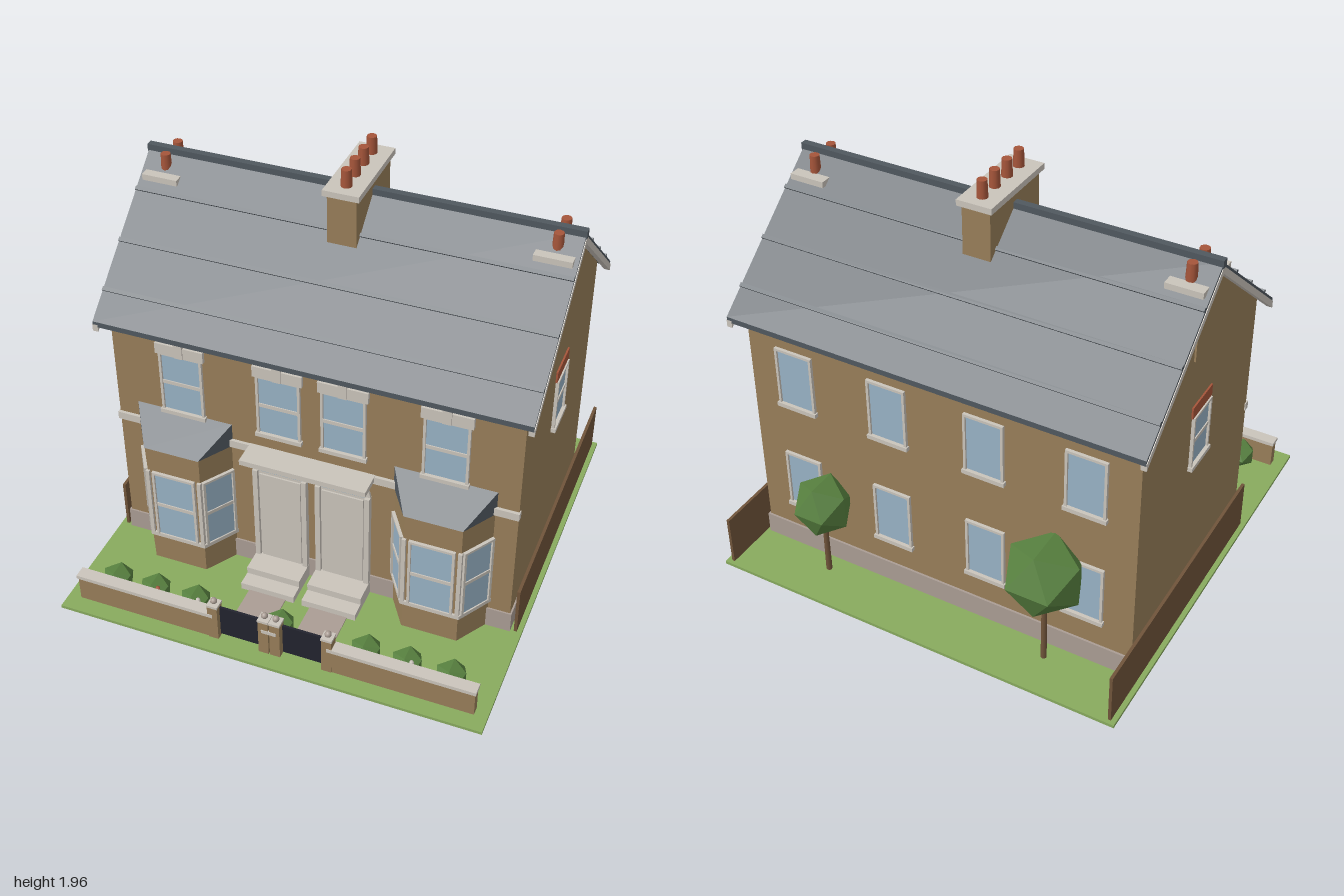
import * as THREE from 'three';
import { ConvexGeometry } from 'three/addons/geometries/ConvexGeometry.js';

const material = (name, color, flatShading = false) => {
  const m = new THREE.MeshStandardMaterial({ color, flatShading });
  m.name = name;
  return m;
};
const M = {
  brick: material('brick', 0x987e59),
  cream: material('cream stone', 0xcac4bb),
  slate: material('slate', 0x50585f),
  glass: material('glass', 0x98b2c5),
  red: material('terracotta', 0xa5553a),
  grass: material('grass', 0x88aa5e),
  wood: material('brown wood', 0x70543a),
  iron: material('black iron', 0x22232e),
  stone: material('path stone', 0xaa9d94),
  leaf: material('foliage', 0x57803f, true),
};

const ZC = -0.157, FRONT = 0.405, BACK = -0.717, HALF = 0.94; // ridge line and wall planes
const EAVE_Y = 1.262, RIDGE_Y = 1.79, EAVE_R = 0.635;
const SLOPE = (RIDGE_Y - EAVE_Y) / EAVE_R;

function add(parent, name, geometry, mat) {
  const mesh = new THREE.Mesh(geometry, mat);
  mesh.name = name;
  parent.add(mesh);
  return mesh;
}

// Box given by its extents on each axis
function box(parent, name, mat, [x0, x1], [y0, y1], [z0, z1]) {
  const mesh = add(parent, name, new THREE.BoxGeometry(x1 - x0, y1 - y0, z1 - z0), mat);
  mesh.position.set((x0 + x1) / 2, (y0 + y1) / 2, (z0 + z1) / 2);
  return mesh;
}

const shapeOf = (pts) => new THREE.Shape(pts.map(([a, b]) => new THREE.Vector2(a, b)));

// Side profile of [z, y] points swept along x
function sweepX(parent, name, mat, pts, x0, x1) {
  const g = new THREE.ExtrudeGeometry(shapeOf(pts), { depth: x1 - x0, bevelEnabled: false });
  g.rotateY(-Math.PI / 2).translate(x1, 0, 0);
  return add(parent, name, g, mat);
}

// Plan of [x, z] points swept up y
function sweepY(parent, name, mat, pts, y0, y1) {
  const g = new THREE.ExtrudeGeometry(shapeOf(pts.map(([x, z]) => [x, -z])), { depth: y1 - y0, bevelEnabled: false });
  g.rotateX(-Math.PI / 2).translate(0, y0, 0);
  return add(parent, name, g, mat);
}

// Framed window facing +z, origin at the bottom centre of the glass on the wall face
function windowUnit(parent, name, w, h, { bar = true, sill = true, frame = 0.012 } = {}) {
  const g = new THREE.Group();
  g.name = name;
  parent.add(g);
  const a = w / 2, b = a + frame;
  box(g, 'pane', M.glass, [-a, a], [0, h], [-0.004, 0.005]);
  for (const s of [-1, 1]) box(g, 'jamb', M.cream, s < 0 ? [-b, -a] : [a, b], [0, h], [-0.005, 0.015]);
  box(g, 'head', M.cream, [-b, b], [h, h + frame], [-0.005, 0.015]);
  if (bar) box(g, 'sashBar', M.cream, [-a, a], [h * 0.5 - 0.009, h * 0.5 + 0.009], [0, 0.01]);
  if (sill) box(g, 'sill', M.cream, [-b - 0.006, b + 0.006], [-0.02, 0], [-0.005, 0.022]);
  return g;
}

function pot(parent, x, y, z) {
  add(parent, 'chimneyPot', new THREE.CylinderGeometry(0.022, 0.025, 0.08, 10), M.red).position.set(x, y + 0.04, z);
}

// Faceted ball of leaves
function foliage(parent, name, r, x, y, z, sy = 1) {
  const m = add(parent, name, new THREE.IcosahedronGeometry(r, 0).rotateY(Math.PI / 2), M.leaf);
  m.scale.y = sy;
  m.position.set(x, y, z);
}

function buildHouse(root) {
  const top = EAVE_Y + (EAVE_R - 0.56) * SLOPE - 0.03;
  sweepX(root, 'walls', M.brick, [[FRONT, 0.01], [FRONT, top], [ZC, RIDGE_Y - 0.03], [BACK, top], [BACK, 0.01]], -HALF, HALF);
  box(root, 'plinth', M.stone, [-0.948, 0.948], [0.012, 0.12], [BACK - 0.01, FRONT + 0.008]);
  box(root, 'stringCourse', M.cream, [-0.945, 0.945], [0.69, 0.728], [0.39, 0.42]);

  // Roof, ridge, slate courses and bargeboards
  const chevron = (a, b) => [
    [ZC + EAVE_R, EAVE_Y - a], [ZC, RIDGE_Y - a], [ZC - EAVE_R, EAVE_Y - a],
    [ZC - EAVE_R, EAVE_Y - b], [ZC, RIDGE_Y - b], [ZC + EAVE_R, EAVE_Y - b]];
  sweepX(root, 'roof', M.slate, chevron(0, 0.026), -0.985, 0.985);
  for (const s of [-1, 1]) {
    sweepX(root, 'bargeboard', M.cream, chevron(0.015, 0.05), s * 0.975 - 0.013, s * 0.975 + 0.013);
    for (const d of [0.157, 0.343, 0.52]) {
      const m = add(root, 'slateCourse', new THREE.BoxGeometry(1.97, 0.018, 0.018), M.slate);
      m.position.set(0, RIDGE_Y - d * SLOPE + 0.002, ZC + s * d);
      m.rotation.x = s * Math.atan(SLOPE);
    }
  }
  box(root, 'ridge', M.slate, [-0.99, 0.99], [1.77, 1.806], [ZC - 0.016, ZC + 0.016]);

  // Chimneys
  box(root, 'mainChimney', M.brick, [-0.066, 0.066], [1.5, 1.856], [-0.36, 0.045]);
  box(root, 'mainChimneyCap', M.cream, [-0.082, 0.082], [1.852, 1.88], [-0.377, 0.06]);
  for (const z of [-0.01, -0.108, -0.208, -0.307]) pot(root, 0, 1.88, z);
  for (const s of [-1, 1]) {
    const cx = s * 0.883;
    box(root, 'endChimney', M.brick, [cx - 0.065, cx + 0.065], [1.38, 1.695], [-0.275, -0.045]);
    box(root, 'endChimneyCap', M.cream, [cx - 0.083, cx + 0.083], [1.692, 1.72], [-0.295, -0.028]);
    for (const z of [-0.225, -0.105]) pot(root, cx, 1.72, z);
  }

  // Upper front windows with keystoned lintels
  for (const x of [-0.61, -0.15, 0.15, 0.61]) {
    const w = windowUnit(root, 'upperFrontWindow', 0.182, 0.3);
    w.position.set(x, 0.82, FRONT);
    box(w, 'lintel', M.cream, [-0.115, 0.115], [0.305, 0.36], [-0.005, 0.018]);
    box(w, 'keystone', M.cream, [-0.02, 0.02], [0.305, 0.376], [-0.005, 0.024]);
  }
  // Gable windows with red brick lintels
  for (const s of [-1, 1]) {
    const w = windowUnit(root, 'gableWindow', 0.154, 0.245);
    w.position.set(s * HALF, 0.822, ZC);
    w.rotation.y = s * Math.PI / 2;
    box(w, 'brickLintel', M.red, [-0.097, 0.097], [0.257, 0.313], [-0.005, 0.008]);
  }
  // Back windows
  for (const x of [-0.705, -0.235, 0.235, 0.705]) for (const y of [0.27, 0.84]) {
    const w = windowUnit(root, 'backWindow', 0.165, 0.275, { bar: false });
    w.position.set(x, y, BACK);
    w.rotation.y = Math.PI;
  }
}

function buildBay(root, cx) {
  const g = new THREE.Group();
  g.name = 'bayWindow';
  g.position.x = cx;
  root.add(g);
  const plan = (o) => [[-0.228 - o, 0.4], [-0.13 - o * 0.6, 0.553 + o], [0.13 + o * 0.6, 0.553 + o], [0.228 + o, 0.4]];
  sweepY(g, 'bayWall', M.brick, plan(0), 0.01, 0.69);
  sweepY(g, 'baySill', M.cream, plan(0.012), 0.162, 0.182);
  const roofPts = [];
  for (const s of [-1, 1]) roofPts.push(
    new THREE.Vector3(s * 0.232, 0.81, 0.403), new THREE.Vector3(s * 0.232, 0.688, 0.403), new THREE.Vector3(s * 0.132, 0.688, 0.563));
  add(g, 'bayRoof', new ConvexGeometry(roofPts), M.slate);
  windowUnit(g, 'bayFrontWindow', 0.186, 0.36, { sill: false }).position.set(0, 0.182, 0.553);
  for (const s of [-1, 1]) {
    box(g, 'bayPost', M.cream, [s * 0.127 - 0.009, s * 0.127 + 0.009], [0.182, 0.554], [0.54, 0.566]);
    const w = windowUnit(g, 'baySideWindow', 0.142, 0.36, { sill: false });
    w.position.set(s * 0.179, 0.182, 0.4765);
    w.rotation.y = s * Math.atan2(0.153, 0.098);
  }
}

function buildEntrance(root) {
  // Shared canopy
  box(root, 'canopy', M.cream, [-0.28, 0.28], [0.684, 0.706], [0.4, 0.51]);
  box(root, 'canopyTop', M.cream, [-0.295, 0.295], [0.704, 0.73], [0.4, 0.53]);
  const arch = (rx, ry) => new THREE.Shape().absellipse(0, 0, rx, ry, 0, Math.PI, false);
  for (const s of [-1, 1]) {
    const g = new THREE.Group();
    g.name = 'entrance';
    g.position.x = s * 0.15;
    root.add(g);
    box(g, 'doorSurround', M.cream, [-0.128, 0.128], [0.015, 0.6], [0.395, 0.418]);
    for (const t of [-1, 1]) box(g, 'pilaster', M.cream, [t * 0.117 - 0.012, t * 0.117 + 0.012], [0.015, 0.6], [0.4, 0.435]);
    const top = new THREE.ExtrudeGeometry(arch(0.128, 0.086), { depth: 0.023, bevelEnabled: false, curveSegments: 12 });
    add(g, 'archSurround', top, M.cream).position.set(0, 0.6, 0.395);
    const light = new THREE.ExtrudeGeometry(arch(0.104, 0.066), { depth: 0.006, bevelEnabled: false, curveSegments: 12 });
    add(g, 'fanlight', light, M.glass).position.set(0, 0.597, 0.416);
    box(g, 'door', M.cream, [-0.098, 0.098], [0.08, 0.58], [0.41, 0.426]);
    box(g, 'lowerStep', M.cream, [-0.13, 0.13], [0.012, 0.05], [0.4, 0.605]);
    box(g, 'upperStep', M.cream, [-0.13, 0.13], [0.05, 0.085], [0.4, 0.535]);
    box(g, 'path', M.stone, [-0.09, 0.09], [0.01, 0.021], [0.6, 0.885]);
    box(g, 'gate', M.iron, [-0.094, 0.094], [0.03, 0.192], [0.892, 0.903]);
  }
}

function buildGarden(root) {
  box(root, 'ground', M.grass, [-1, 1], [0, 0.015], [-1, 1]);
  for (const s of [-1, 1]) {
    const span = (a, b) => (s < 0 ? [-b, -a] : [a, b]);
    box(root, 'fence', M.wood, span(0.963, 0.977), [0.012, 0.26], [-0.98, 0.403]);
    box(root, 'gardenWall', M.brick, span(0.27, 0.94), [0.012, 0.142], [0.88, 0.922]);
    box(root, 'gardenWallCap', M.cream, span(0.27, 0.945), [0.14, 0.158], [0.871, 0.929]);
    // Gate piers with ball finials
    for (const x of [0.027, 0.27]) {
      const px = s * x;
      box(root, 'gatePier', M.brick, [px - 0.024, px + 0.024], [0.012, 0.202], [0.876, 0.926]);
      box(root, 'pierCap', M.cream, [px - 0.026, px + 0.026], [0.2, 0.212], [0.874, 0.928]);
      add(root, 'finial', new THREE.SphereGeometry(0.016, 8, 6), M.stone).position.set(px, 0.225, 0.901);
    }
  }
  box(root, 'centreWallCap', M.cream, [-0.035, 0.035], [0.14, 0.158], [0.871, 0.929]);

  // Front shrubs with a few blooms
  for (const x of [-0.8, -0.61, -0.41, 0, 0.41, 0.6, 0.8]) foliage(root, 'shrub', 0.077, x, 0.088, 0.81, 0.92);
  for (const [x, m] of [[-0.58, M.red], [-0.38, M.cream], [0.63, M.cream]])
    add(root, 'bloom', new THREE.SphereGeometry(0.012, 6, 4), m).position.set(x, 0.13, 0.843);

  // Back garden trees
  for (const [x, y, r, sy] of [[-0.566, 0.5, 0.188, 1], [0.555, 0.4, 0.138, 1.1]]) {
    foliage(root, 'treeCrown', r, x, y, -0.803, sy);
    add(root, 'treeTrunk', new THREE.CylinderGeometry(0.011, 0.014, y, 8), M.wood).position.set(x, y / 2 + 0.005, -0.803);
  }
}

export function createModel() {
  const root = new THREE.Group();
  root.name = 'semiDetachedHouse';
  buildGarden(root);
  buildHouse(root);
  for (const x of [-0.612, 0.612]) buildBay(root, x);
  buildEntrance(root);
  return root;
}
